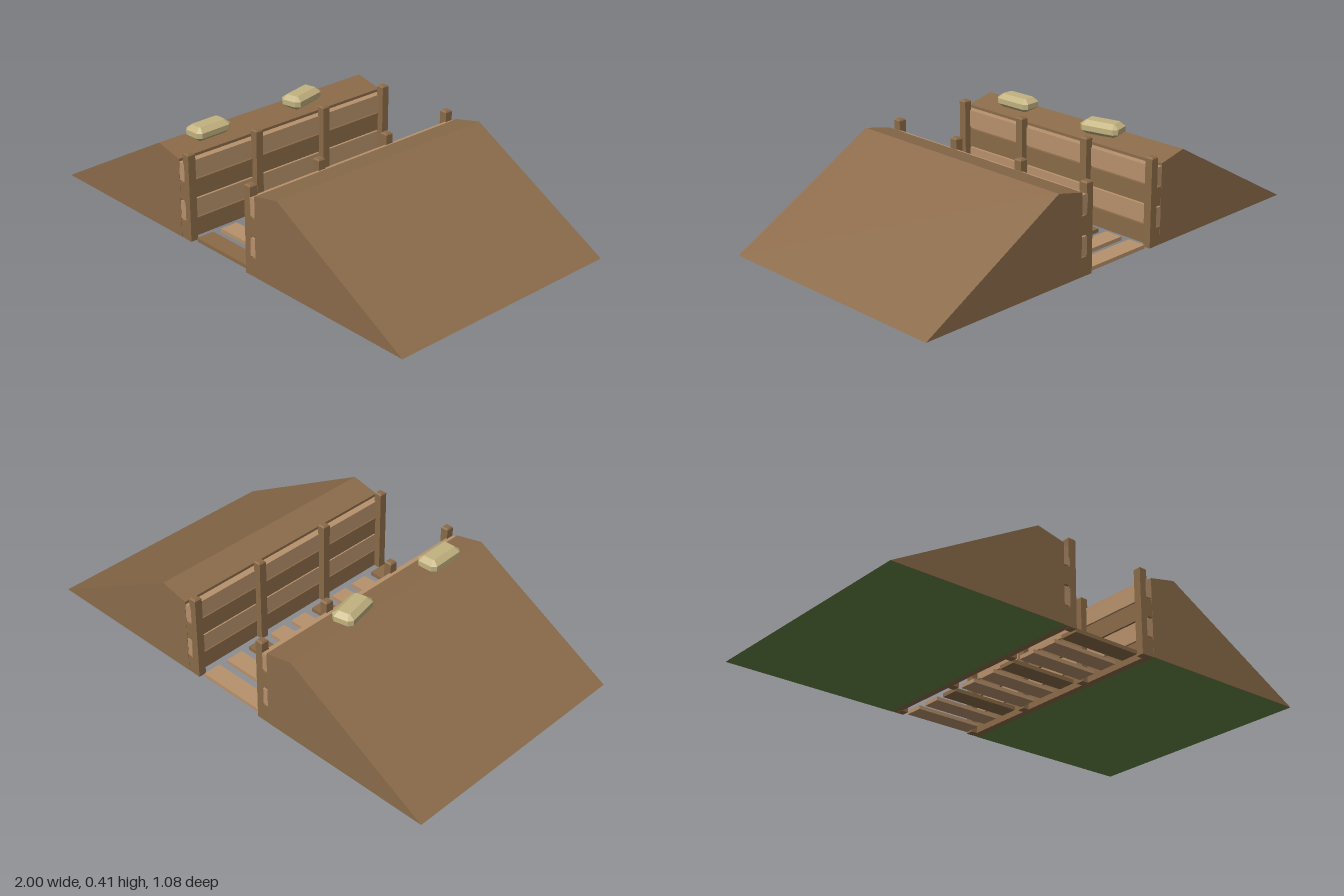
import * as THREE from 'three';

const HALF = 0.538; // half length of the trench along z

function makeMaterial(name, color) {
  const m = new THREE.MeshStandardMaterial({ color });
  m.name = name;
  return m;
}

export function createModel() {
  const earth = makeMaterial('earth', 0x8b6b4a);
  const grass = makeMaterial('greenUnderside', 0x658546);
  const lightWood = makeMaterial('lightWood', 0xb8926c);
  const darkWood = makeMaterial('darkWood', 0x8b6b48);
  const sandbagCloth = makeMaterial('sandbagCloth', 0xc2b280);

  const model = new THREE.Group();
  model.name = 'trench';

  function add(name, geometry, material, x, y, z) {
    const mesh = new THREE.Mesh(geometry, material);
    mesh.name = name;
    mesh.position.set(x, y, z);
    model.add(mesh);
    return mesh;
  }

  // One side of the trench; s is +1 for left and -1 for right
  function addSide(s) {
    const side = s > 0 ? 'left' : 'right';

    // Earth bank with a long outer slope and a short inner slope
    const profile = new THREE.Shape(
      [[0.225, 0.001], [1, 0.001], [0.35, 0.366], [0.225, 0.338]].map(
        ([x, y]) => new THREE.Vector2(s * x, y))
    );
    const bank = new THREE.ExtrudeGeometry(profile, { depth: 2 * HALF, bevelEnabled: false });
    add(side + 'Bank', bank, earth, 0, 0, -HALF);

    // Green underside
    const base = new THREE.PlaneGeometry(0.775, 2 * HALF).rotateX(Math.PI / 2);
    add(side + 'BankUnderside', base, grass, s * 0.6125, 0, 0);

    // Stacked wall boards in alternating wood
    const board = new THREE.BoxGeometry(0.03, 0.077, 2 * HALF - 0.002);
    for (let i = 0; i < 4; i++) {
      add(side + 'WallBoard', board, i % 2 ? lightWood : darkWood, s * 0.21, 0.039 + i * 0.083, 0);
    }

    // Posts with chamfered tops
    const shaft = new THREE.BoxGeometry(0.034, 0.366, 0.034);
    const cap = new THREE.CylinderGeometry(0.012 * Math.SQRT2, 0.017 * Math.SQRT2, 0.006, 4)
      .rotateY(Math.PI / 4).toNonIndexed();
    cap.computeVertexNormals();
    for (const z of [-0.52, -0.18, 0.18, 0.52]) {
      add(side + 'Post', shaft, darkWood, s * 0.184, 0.183, z);
      add(side + 'PostTop', cap, darkWood, s * 0.184, 0.369, z);
    }
  }
  addSide(1);
  addSide(-1);

  // Duckboard floor slats
  const slat = new THREE.BoxGeometry(0.308, 0.016, 0.08);
  for (let i = 0; i < 9; i++) {
    add('floorSlat', slat, i % 3 === 2 ? darkWood : lightWood, 0, 0.008, -0.482 + i * 0.12);
  }

  // Faceted sandbags lying on the right ridge
  const w = 0.026, l = 0.065, c = 0.004;
  const outline = new THREE.Shape([
    [w, -l + c], [w, l - c], [w - c, l], [-w + c, l],
    [-w, l - c], [-w, -l + c], [-w + c, -l], [w - c, -l],
  ].map(([x, y]) => new THREE.Vector2(x, y)));
  const bag = new THREE.ExtrudeGeometry(outline, {
    depth: 0.022, bevelThickness: 0.018, bevelSize: 0.022, bevelSegments: 1,
  }).translate(0, 0, -0.011).rotateX(-Math.PI / 2);
  add('sandbag', bag, sandbagCloth, -0.303, 0.379, -0.162).rotation.y = 0.22;
  add('sandbag', bag, sandbagCloth, -0.308, 0.379, 0.326).rotation.y = 0.03;

  return model;
}
